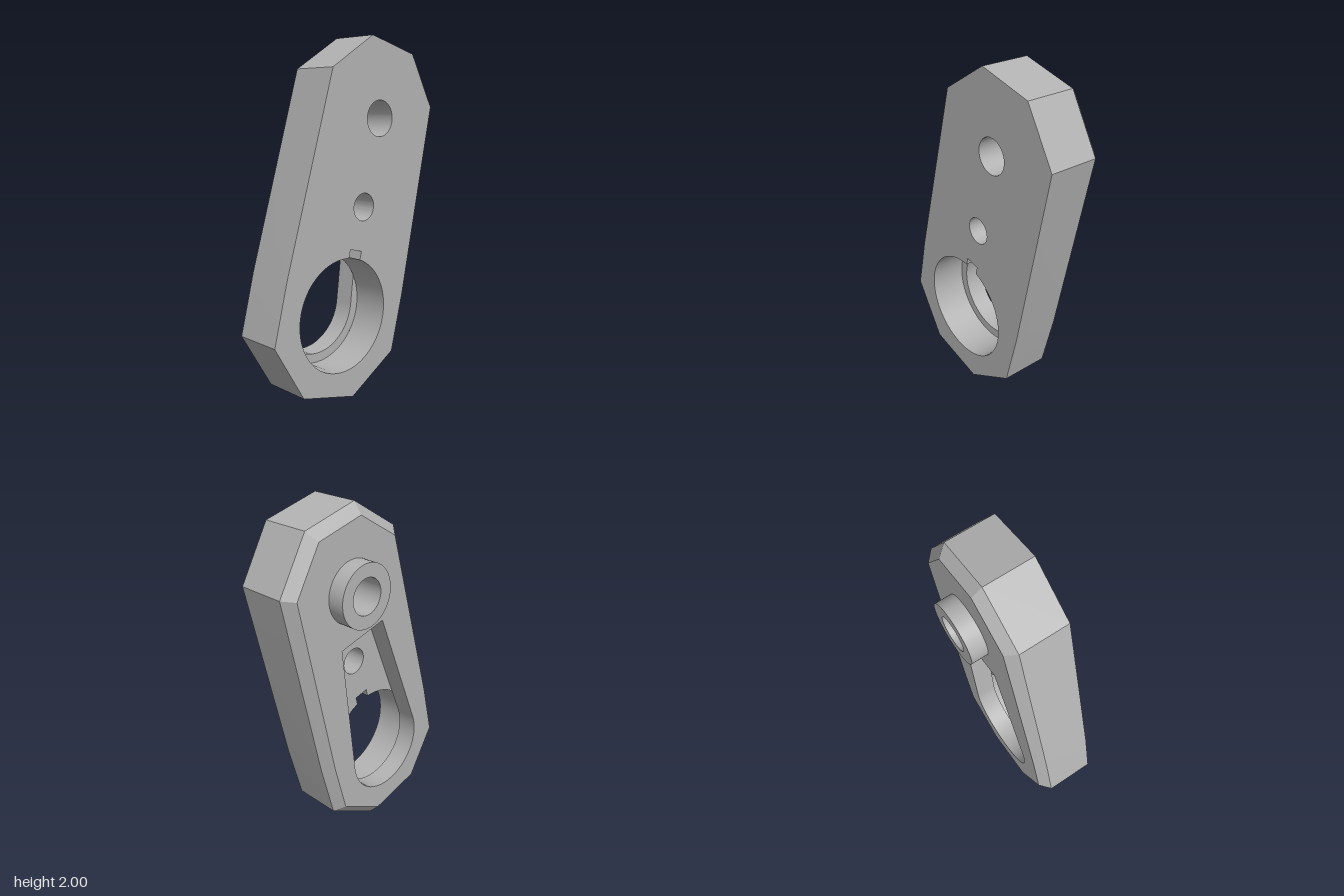
import * as THREE from 'three';
import { toCreasedNormals } from 'three/addons/utils/BufferGeometryUtils.js';

const FRONT = 0.215, FLOOR = 0, CHAMFER = -0.065, BACK = -0.12, BOSS = -0.215;
const rad = THREE.MathUtils.degToRad;
const v2 = (x, y) => new THREE.Vector2(x, y);

// Points along an arc, angles in degrees
function arc(r, a0, a1, n, cy = 0) {
  return Array.from({ length: n + 1 }, (_, i) => {
    const a = rad(a0 + (a1 - a0) * i / n);
    return v2(r * Math.cos(a), cy + r * Math.sin(a));
  });
}
const circle = (r, cy) => arc(r, 0, 360, 64, cy).slice(0, -1);

// Counter-clockwise polygon moved inwards by d
function inset(pts, d) {
  const n = pts.length;
  const normal = (a, b) => v2(b.y - a.y, a.x - b.x).normalize();
  return pts.map((p, i) => {
    const n1 = normal(pts[(i + n - 1) % n], p), n2 = normal(p, pts[(i + 1) % n]);
    return p.clone().addScaledVector(n1.clone().add(n2), -d / (1 + n1.dot(n2)));
  });
}

// Wall between two rings; inward walls line a hole
function wall(high, zHigh, low, zLow, inward = false) {
  const pos = [], n = high.length;
  for (let i = 0; i < n; i++) {
    const j = (i + 1) % n;
    const a = [low[i].x, low[i].y, zLow], b = [low[j].x, low[j].y, zLow];
    const c = [high[j].x, high[j].y, zHigh], d = [high[i].x, high[i].y, zHigh];
    pos.push(...(inward ? [a, c, b, a, d, c] : [a, b, c, a, c, d]).flat());
  }
  const g = new THREE.BufferGeometry();
  g.setAttribute('position', new THREE.Float32BufferAttribute(pos, 3));
  return toCreasedNormals(g, 0.2);
}

// Flat face with holes, facing +z or -z
function face(outline, holes, z, backward = false) {
  const shape = new THREE.Shape(outline);
  shape.holes = holes.map(h => new THREE.Path(h));
  const g = new THREE.ShapeGeometry(shape);
  if (backward) {
    g.index.array.reverse();
    g.computeVertexNormals();
  }
  return g.translate(0, 0, z);
}

export function createModel() {
  const model = new THREE.Group();
  const metal = new THREE.MeshStandardMaterial({ color: 0xb2b2b2 });
  metal.name = 'grey metal';

  // The link is drawn upright around its bore, then tilted
  const link = new THREE.Group();
  link.name = 'link';
  link.position.set(-0.113, 0.488, 0);
  link.rotation.z = rad(-14.3);
  model.add(link);
  const add = (name, geometry) => {
    const mesh = new THREE.Mesh(geometry, metal);
    mesh.name = name;
    link.add(mesh);
  };

  // Mirrored outline
  const half = [[0.189, -0.452], [0.455, -0.188], [0.456, 0.155], [0.411, 1.272], [0.17, 1.518]];
  const outline = [
    ...half.map(([x, y]) => v2(x, y)),
    ...half.slice().reverse().map(([x, y]) => v2(-x, y)),
  ];
  const backOutline = inset(outline, 0.056);

  // Bore with keyway
  const R = 0.32, keyHalf = 0.044, keyTop = 0.365;
  const keyAngle = THREE.MathUtils.radToDeg(Math.asin(keyHalf / R));
  const bore = [...arc(R, 90 + keyAngle, 450 - keyAngle, 72), v2(keyHalf, keyTop), v2(-keyHalf, keyTop)];

  // Tapered slot in the back, tangent to a smaller arc
  const r = 0.267, taper = 7.5, slotTop = 0.83;
  const w = (r - slotTop * Math.sin(rad(taper))) / Math.cos(rad(taper));
  const slot = [...arc(r, 180 - taper, 360 + taper, 48), v2(w, slotTop), v2(-w, slotTop)];
  const cross = taper + THREE.MathUtils.radToDeg(Math.acos(r / R));

  const pinHole = circle(0.1, 1.104);
  const smallHole = circle(0.077, 0.608);
  const bossRing = circle(0.175, 1.104);

  // Outer body
  add('frontFace', face(outline, [bore, smallHole, pinHole], FRONT));
  add('sides', wall(outline, FRONT, outline, CHAMFER));
  add('backChamfer', wall(outline, CHAMFER, backOutline, BACK));
  add('backFace', face(backOutline, [slot, bossRing], BACK, true));

  // Boss around the pin hole
  add('bossSide', wall(bossRing, BACK, bossRing, BOSS));
  add('bossFace', face(bossRing, [pinHole], BOSS, true));

  // Hole and pocket walls
  add('pinHole', wall(pinHole, FRONT, pinHole, BOSS, true));
  add('smallHole', wall(smallHole, FRONT, smallHole, FLOOR, true));
  add('boreWall', wall(bore, FRONT, bore, FLOOR, true));
  add('slotWall', wall(slot, FLOOR, slot, BACK, true));

  // Slot floor above the bore, seen from the back
  add('slotFloor', face([
    v2(w, slotTop), v2(-w, slotTop),
    ...arc(R, 180 - cross, 90 + keyAngle, 10),
    v2(-keyHalf, keyTop), v2(keyHalf, keyTop),
    ...arc(R, 90 - keyAngle, cross, 10),
  ], [smallHole], FLOOR, true));

  // Crescent ledge at the bottom of the bore, seen from the front
  add('boreLedge', face([
    ...arc(R, 180 - cross, 360 + cross, 56),
    ...arc(r, 360 + taper, 180 - taper, 48),
  ], [], FLOOR));

  return model;
}
